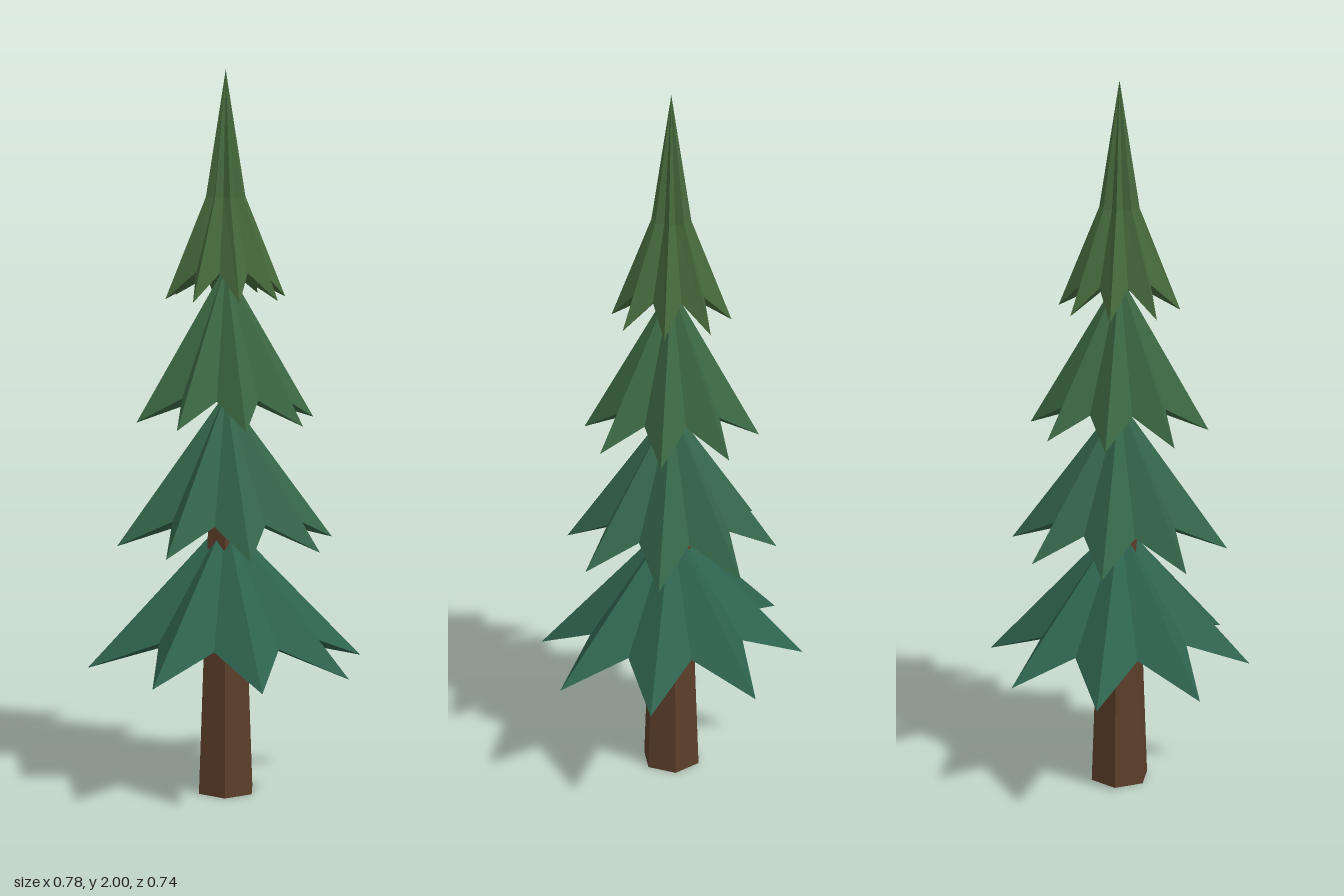
import * as THREE from 'three';

const POINTS = 8; // branch tips per tier
const N = POINTS * 2;

// Ring alternating between tip and valley; a zero radius collapses it to a point.
function starRing(tipR, tipY, valleyR, valleyY, squash = 1) {
  return Array.from({ length: N }, (_, i) => {
    const a = (i / N) * Math.PI * 2;
    const tip = i % 2 === 0;
    // slight hand-cut irregularity
    const r = (tip ? tipR : valleyR) * (1 + 0.02 * Math.sin(i * 2.3));
    return [r * Math.cos(a), tip ? tipY : valleyY, r * Math.sin(a) * squash];
  });
}

// Flat-shaded skin through rings listed from the underside centre up to the apex.
function skin(rings) {
  const pos = [];
  const same = (p, q) => p.every((v, k) => Math.abs(v - q[k]) < 1e-6);
  const tri = (a, b, c) => {
    if (!same(a, b) && !same(b, c) && !same(a, c)) pos.push(...a, ...b, ...c);
  };
  for (let k = 0; k < rings.length - 1; k++) {
    const A = rings[k], B = rings[k + 1];
    for (let i = 0; i < N; i++) {
      const j = (i + 1) % N;
      tri(A[i], B[i], B[j]);
      tri(A[i], B[j], A[j]);
    }
  }
  const g = new THREE.BufferGeometry();
  g.setAttribute('position', new THREE.Float32BufferAttribute(pos, 3));
  g.computeVertexNormals();
  return g;
}

export function createModel() {
  const tree = new THREE.Group();
  tree.name = 'pineTree';

  // Tapered six-sided trunk
  const trunk = new THREE.Mesh(
    new THREE.CylinderGeometry(0.055, 0.085, 0.76, 6),
    new THREE.MeshStandardMaterial({ color: 0x5c3e2a, flatShading: true })
  );
  trunk.name = 'trunk';
  trunk.rotation.y = Math.PI / 6;
  trunk.position.y = 0.38;
  tree.add(trunk);

  // Foliage tiers, bottom to top
  const tiers = [
    { name: 'bottomFoliage', r: 0.393, y: 0.37, valley: 0.45, apex: 0.775, squash: 0.935, color: 0x2f6350 },
    { name: 'lowerFoliage', r: 0.3, y: 0.71, valley: 0.785, apex: 1.125, color: 0x35664a },
    { name: 'upperFoliage', r: 0.245, y: 1.05, valley: 1.12, apex: 1.475, color: 0x3c6844 },
    { name: 'topFoliage', r: 0.165, y: 1.385, valley: 1.46, apex: 2, shoulder: [0.054, 1.66], color: 0x46693c },
  ];
  for (const t of tiers) {
    const underY = t.valley + 0.01;
    const rings = [
      starRing(0, underY, 0, underY),
      starRing(t.r, t.y, t.r * 0.605, t.valley, t.squash),
    ];
    if (t.shoulder) {
      const [r, y] = t.shoulder;
      rings.push(starRing(r, y, r * 0.7, y));
    }
    rings.push(starRing(0, t.apex, 0, t.apex));
    const mesh = new THREE.Mesh(
      skin(rings),
      new THREE.MeshStandardMaterial({ color: t.color, flatShading: true })
    );
    mesh.name = t.name;
    tree.add(mesh);
  }
  return tree;
}
